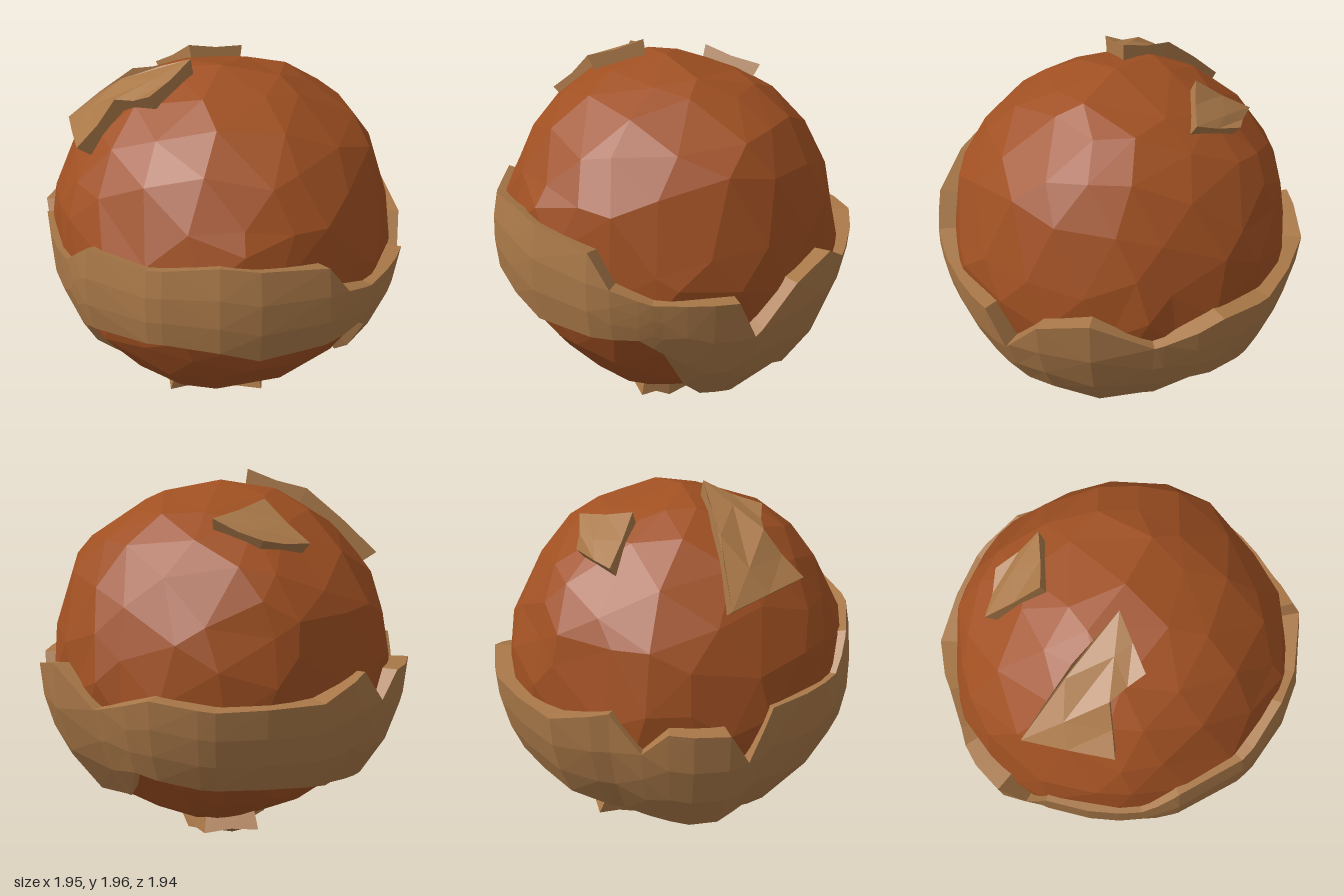
import * as THREE from 'three';
import { mergeVertices } from 'three/addons/utils/BufferGeometryUtils.js';

const CENTER_Y = 1, INNER = 0.85;

function seeded(seed) {
  return () => {
    seed = (seed * 16807) % 2147483647;
    return seed / 2147483647;
  };
}

function material(color) {
  return new THREE.MeshStandardMaterial({ color, flatShading: true });
}

// Triangles from a flat list of points
function facets(points, color, name) {
  const geometry = new THREE.BufferGeometry().setFromPoints(points);
  geometry.computeVertexNormals();
  const mesh = new THREE.Mesh(geometry, material(color));
  mesh.name = name;
  return mesh;
}

const quad = (out, a, b, c, d) => out.push(a, b, c, a, c, d);
const inward = (p) => p.clone().setLength(INNER);

// Value at a longitude on a closed list of [longitude, value], by straight interpolation
function valueAt(list, deg) {
  for (let i = 0; i < list.length; i++) {
    const [a0, v0] = list[i];
    const [a1, v1] = i + 1 < list.length ? list[i + 1] : [list[0][0] + 360, list[0][1]];
    if (deg >= a0 && deg <= a1) return v0 + ((v1 - v0) * (deg - a0)) / (a1 - a0);
  }
  return list[0][1];
}

// Raised belt around the ball, with ragged edges; longitude 0 is the front, 90 is +x
function makeBelt(color) {
  const top = [
    [-63, 1.07], [-51, 1.23], [-28, 1.24], [-6, 1.29], [27, 1.22], [34, 1.05], [46, 0.98],
    [71, 0.97], [77, 0.75], [90, 1.0], [107, 1.08], [125, 0.9], [146, 1.02], [165, 0.98],
    [197, 0.98], [216, 1.07], [226, 0.88], [234, 1.01], [251, 1.0], [258, 0.8], [266, 1.07],
  ];
  const bottom = [
    [-63, 0.5], [-58, 0.68], [-53, 0.73], [-23, 0.83], [-6, 0.81], [6, 0.74], [42, 0.77],
    [49, 0.68], [56, 0.42], [64, 0.29], [79, 0.27], [90, 0.47], [106, 0.34], [128, 0.39],
    [138, 0.6], [160, 0.54], [180, 0.52], [197, 0.5], [210, 0.44], [241, 0.37],
    [263, 0.42], [280, 0.34], [290, 0.3],
  ];
  const radius = [
    [-63, 0.94], [-43, 0.965], [-6, 0.975], [9, 0.98], [30, 1.0], [50, 0.97], [78, 0.995],
    [111, 0.985], [125, 0.955], [143, 0.99], [168, 0.985], [182, 0.965], [196, 0.99],
    [217, 0.945], [249, 1.03], [262, 0.955], [277, 0.94],
  ];
  const start = -63;
  const columns = [...new Set([...top, ...bottom].map((p) => p[0]))]
    .sort((a, b) => a - b)
    .filter((d, i, all) => i === 0 || d - all[i - 1] > 1);
  columns.push(start + 360);

  const rows = 3, out = [];
  const grid = columns.map((column) => {
    const deg = column === start + 360 ? start : column;
    const lo = valueAt(bottom, deg), hi = valueAt(top, deg), r = valueAt(radius, deg);
    const a = THREE.MathUtils.degToRad(deg);
    return Array.from({ length: rows + 1 }, (_, j) => {
      const h = lo + ((hi - lo) * j) / rows - CENTER_Y;
      const ring = Math.sqrt(r * r - h * h);
      return new THREE.Vector3(ring * Math.sin(a), h, ring * Math.cos(a));
    });
  });
  for (let i = 0; i + 1 < grid.length; i++) {
    const l = grid[i], r = grid[i + 1];
    for (let j = 0; j < rows; j++) {
      // Split along the shorter diagonal, so notches leave no creases
      if (l[j].distanceTo(r[j + 1]) < r[j].distanceTo(l[j + 1])) quad(out, l[j], r[j], r[j + 1], l[j + 1]);
      else quad(out, r[j], r[j + 1], l[j + 1], l[j]);
    }
    quad(out, inward(l[0]), inward(r[0]), r[0], l[0]);
    quad(out, l[rows], r[rows], inward(r[rows]), inward(l[rows]));
  }
  return facets(out, color, 'belt');
}

// Small raised plate from an outline in x and z, on the upper (1) or lower (-1) half
function makePlate(name, outline, side, radius, color) {
  const shape = outline.map(([x, z]) => new THREE.Vector2(x, z));
  if (THREE.ShapeUtils.isClockWise(shape) !== side > 0) shape.reverse();
  const rim = shape.map(
    (p) => new THREE.Vector3(p.x, side * Math.sqrt(radius ** 2 - p.x ** 2 - p.y ** 2), p.y)
  );
  const middle = (p, q) => p.clone().add(q).setLength(radius - 0.025);
  const out = [];
  for (const [a, b, c] of THREE.ShapeUtils.triangulateShape(shape, [])) {
    let [p, q, r] = [rim[a], rim[b], rim[c]];
    if (q.clone().sub(p).cross(r.clone().sub(p)).dot(p) < 0) [q, r] = [r, q];
    const pq = middle(p, q), qr = middle(q, r), rp = middle(r, p);
    out.push(p, pq, rp, pq, q, qr, rp, qr, r, pq, qr, rp);
  }
  rim.forEach((p, i) => {
    const q = rim[(i + 1) % rim.length], m = middle(p, q);
    quad(out, inward(p), inward(m), m, p);
    quad(out, inward(m), inward(q), q, m);
  });
  return facets(out, color, name);
}

// Rough faceted ball with broad bumps and dents
function makeCore(color) {
  const bumps = [
    [-0.16, 0.95, 0.05, 0.03], [0.75, 0.62, 0.1, 0.04], [0.87, 0.2, 0.1, -0.025],
    [0.1, 0.3, 0.9, 0.015], [0, 0.1, -0.87, -0.025], [0, -0.64, 0.6, -0.045],
    [-0.1, -0.84, 0.48, 0.04], [0.6, 0.25, -0.55, -0.045], [0.2, -0.93, 0, 0.015],
    [0, 0.85, -0.42, -0.02], [-0.65, 0.1, -0.66, 0.01],
  ].map(([x, y, z, amount]) => ({ dir: new THREE.Vector3(x, y, z).normalize(), amount }));
  const source = new THREE.IcosahedronGeometry(1, 3);
  source.deleteAttribute('normal');
  source.deleteAttribute('uv');
  const geometry = mergeVertices(source, 1e-3);
  const random = seeded(4211), pos = geometry.attributes.position;
  const v = new THREE.Vector3();
  const shift = () => (random() - 0.5) * 0.16;
  for (let i = 0; i < pos.count; i++) {
    v.fromBufferAttribute(pos, i);
    v.set(v.x + shift(), v.y + shift(), v.z + shift()).normalize();
    let r = 0.908 + random() * 0.024;
    for (const { dir, amount } of bumps) r += amount * Math.exp(-11 * dir.distanceToSquared(v));
    v.multiplyScalar(r);
    pos.setXYZ(i, v.x, v.y, v.z);
  }
  geometry.computeVertexNormals();
  const mesh = new THREE.Mesh(geometry, material(color));
  mesh.name = 'core';
  return mesh;
}

export function createModel() {
  const group = new THREE.Group();
  group.name = 'rockyBall';
  const rust = 0xa05022, tan = 0xa97848;
  group.add(
    makeCore(rust),
    makeBelt(tan),
    makePlate('upperSidePlate',
      [[-0.8, -0.22], [-0.45, -0.07], [-0.16, 0.06], [-0.38, 0.27], [-0.55, 0.15], [-0.75, 0.25]],
      1, 1.0, tan),
    makePlate('upperBackPlate',
      [[-0.31, -0.59], [-0.06, -0.63], [0.16, -0.48], [-0.14, -0.35]], 1, 0.965, tan),
    makePlate('bottomPlate',
      [[-0.32, 0.36], [-0.1, 0.25], [0.19, 0.36], [0.23, 0.2], [0.22, -0.14], [0.2, -0.46],
        [-0.07, -0.55], [0, -0.27], [-0.25, -0.02], [-0.34, 0.2]], -1, 1.0, tan)
  );
  group.children.forEach((mesh) => { mesh.position.y = CENTER_Y; });
  return group;
}
